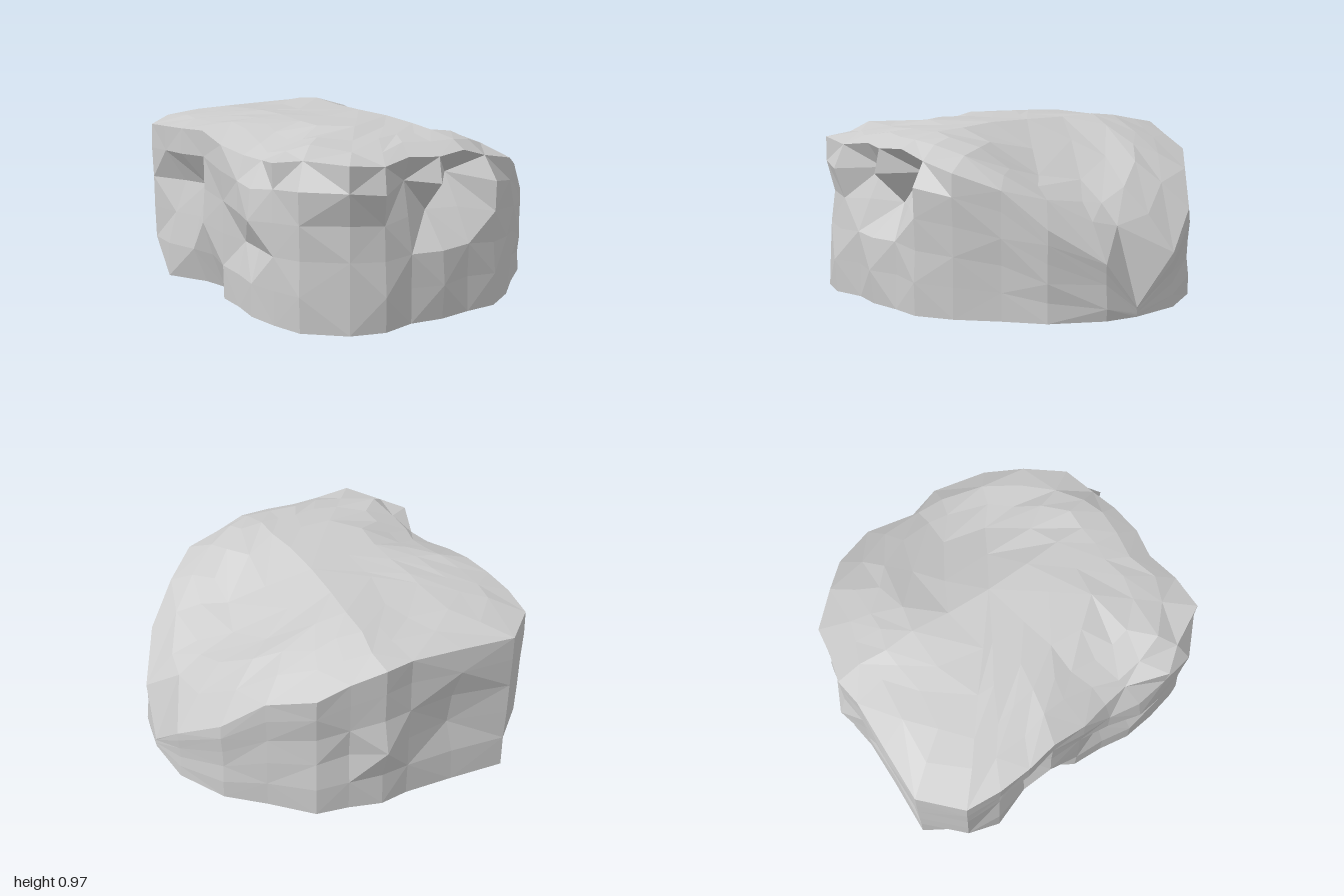
import * as THREE from 'three';

// Plan outline (x, z): back left, back, right end, front, left side
const OUTLINE = [
  [-0.92, -0.77], [-0.72, -0.96], [-0.4, -0.94], [-0.12, -0.93], [0.04, -0.95], [0.22, -0.9],
  [0.4, -0.87], [0.6, -0.68], [0.79, -0.52], [0.94, -0.25], [0.97, 0.05], [0.94, 0.24],
  [0.79, 0.51], [0.6, 0.66], [0.41, 0.83], [0.22, 0.94], [0.04, 0.94], [-0.15, 0.96],
  [-0.33, 0.93], [-0.52, 0.97], [-0.7, 0.91], [-0.88, 0.73], [-0.92, 0.55], [-0.94, 0.36],
  [-0.91, 0.18], [-0.9, 0], [-0.9, -0.2], [-0.93, -0.38], [-0.94, -0.57],
];

// Height of the domed top along x
const CREST = [[-0.97, 0.88], [-0.7, 0.96], [0.04, 0.97], [0.22, 0.92], [0.4, 0.84],
  [0.6, 0.71], [0.79, 0.5], [0.94, 0.3], [0.97, 0.05]];

// Dents (+) and bumps (-) on the walls: x, y, z, radius, depth
const DENTS = [
  // crevice under the front lip
  [-0.33, 0.73, 0.93, 0.17, 0.14], [-0.15, 0.55, 0.96, 0.17, 0.2], [0.04, 0.71, 0.94, 0.16, 0.2],
  [0.04, 0.55, 0.94, 0.12, 0.1], [-0.33, 0.55, 0.93, 0.12, 0.06], [-0.15, 0.19, 0.96, 0.15, -0.02],
  [-0.6, 0.5, 0.94, 0.2, 0.07],
  // left side hollows
  [-0.94, 0.52, -0.45, 0.24, 0.15], [-0.92, 0, -0.3, 0.26, 0.13], [-0.92, 0, -0.77, 0.15, 0.07],
  [-0.92, 0.35, 0.28, 0.2, 0.08], [-0.95, 0.54, 0.36, 0.12, -0.03],
  // back
  [0.04, 0.37, -0.95, 0.15, -0.04], [-0.4, 0.4, -0.94, 0.25, 0.05], [-0.3, 0.75, -0.94, 0.2, -0.02],
  [0.4, 0.4, -0.87, 0.25, 0.03],
  // trimmed top edge at the front and left
  [-0.88, 0.86, 0.73, 0.13, 0.08], [0.22, 0.83, 0.94, 0.12, 0.08], [0.04, 0.86, 0.94, 0.08, 0.03],
  [-0.52, 0.86, 0.97, 0.08, 0.06], [-0.15, 0.86, 0.96, 0.08, 0.05],
  [-0.94, 0.81, 0.36, 0.13, 0.11], [-0.91, 0.82, 0.18, 0.13, 0.05],
];

const wave = (a, b) => Math.sin(a * 12.9 + b * 7.3) * Math.cos(a * 5.1 - b * 9.7);

// Smooth round hollow in the top
const hollow = (x, z, cx, cz, rx, rz, depth) =>
  depth * Math.max(0, 1 - ((x - cx) / rx) ** 2 - ((z - cz) / rz) ** 2);

function topHeight(x, z) {
  let k = 1;
  while (k < CREST.length - 1 && x > CREST[k][0]) k++;
  const [x0, y0] = CREST[k - 1], [x1, y1] = CREST[k];
  const y = THREE.MathUtils.lerp(y0, y1, THREE.MathUtils.clamp((x - x0) / (x1 - x0), 0, 1));
  const falloff = z > 0 || x > 0.1 ? 0.14 : 0.1;
  return y - falloff * z ** 4
    - hollow(x, z, 0.4, 0.1, 0.38, 0.5, 0.12)
    - hollow(x, z, -0.9, 0.25, 0.4, 0.4, 0.08);
}

function wallPoint([x, z], t) {
  const y = t * topHeight(x, z);
  let push = t > 0 && t < 1 ? 0.01 * wave(x + y, z - y) : 0;
  for (const [dx, dy, dz, r, depth] of DENTS) {
    const d = Math.hypot(x - dx, y - dy, z - dz) / r;
    if (d < 1) push += depth * (1 - d * d);
  }
  const r = Math.hypot(x, z);
  return [x * (1 - push / r), y, z * (1 - push / r)];
}

// Inner rings use every second or fourth outline point, so facets stay even
function topPoint(s, i) {
  const step = s > 0.6 ? 1 : s > 0.3 ? 2 : 4;
  const m = i - i % step;
  const [ox, oz] = OUTLINE[m];
  const x = s * (ox + 0.025 * wave(m, s));
  const z = s * (oz + 0.025 * wave(s, m));
  return [x, topHeight(x, z) + 0.012 * wave(x * 0.7, z * 0.6) - 0.01, z];
}

export function createModel() {
  const group = new THREE.Group();
  group.name = 'rock';

  // Rings climb the wall, then close in over the top; the underside stays open
  const rings = [0, 0.22, 0.43, 0.64, 0.84, 1].map(t => OUTLINE.map(p => wallPoint(p, t)));
  for (const s of [0.83, 0.68, 0.5, 0.28, 0]) rings.push(OUTLINE.map((p, i) => topPoint(s, i)));

  const pos = [];
  const tri = new THREE.Triangle();
  const addFace = (...corners) => {
    [tri.a, tri.b, tri.c].forEach((v, i) => v.fromArray(corners[i]));
    if (tri.getArea() > 1e-6) pos.push(...corners.flat());
  };
  const n = OUTLINE.length;
  for (let j = 0; j < rings.length - 1; j++) {
    for (let i = 0; i < n; i++) {
      const k = (i + 1) % n;
      const a = rings[j][i], b = rings[j][k], c = rings[j + 1][k], d = rings[j + 1][i];
      // alternate the diagonals on the wall for an irregular faceted look
      if (j > 5 || (i + j) % 2) {
        addFace(b, a, d);
        addFace(b, d, c);
      } else {
        addFace(b, a, c);
        addFace(a, d, c);
      }
    }
  }
  const geometry = new THREE.BufferGeometry();
  geometry.setAttribute('position', new THREE.Float32BufferAttribute(pos, 3));
  geometry.computeVertexNormals();

  const shell = new THREE.Mesh(geometry, new THREE.MeshStandardMaterial({
    color: 0xcccccc, flatShading: true, side: THREE.DoubleSide,
  }));
  shell.name = 'rockShell';
  group.add(shell);
  return group;
}
